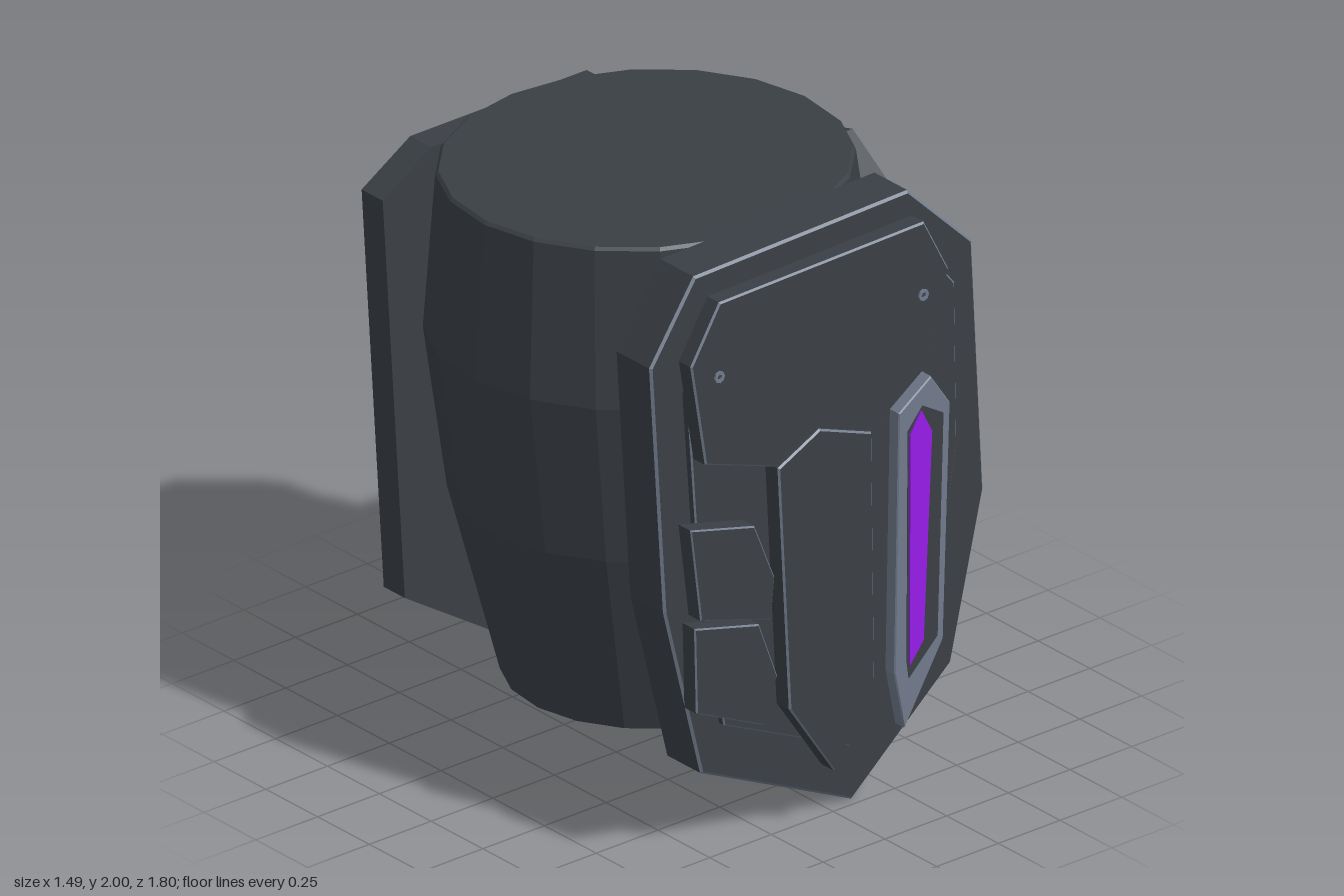
import * as THREE from 'three';

const mat = (name, color) => {
  const m = new THREE.MeshStandardMaterial({ color });
  m.name = name;
  return m;
};

export function createModel() {
  const body = mat('gunmetal', 0x3a3f45);
  const trim = mat('grey trim', 0x707a8b);
  const glow = mat('purple light', 0x981cea);
  const model = new THREE.Group();

  // Each face: turn about y, and how far plates lean outward per unit of height
  const faces = {
    front: { turn: 0, lean: -0.03 },
    side: { turn: Math.PI / 2, lean: -0.015 },
    back: { turn: Math.PI, lean: 0.03 },
  };

  // Plate: outline (u, y) seen from outside, inner distance w, thickness d
  function plate(name, faceName, pts, w, d, material, { bevel = 0, hole = null } = {}) {
    const face = faces[faceName];
    const toV = (p) => new THREE.Vector2(p[0], p[1]);
    const shape = new THREE.Shape(pts.map(toV));
    if (hole) shape.holes.push(new THREE.Path(hole.map(toV)));
    const geo = new THREE.ExtrudeGeometry(shape, {
      depth: d - bevel, bevelEnabled: bevel > 0, bevelSegments: 1,
      bevelSize: bevel, bevelThickness: bevel, bevelOffset: -bevel,
    });
    const pos = geo.attributes.position;
    for (let i = 0; i < pos.count; i++) {
      const z = Math.max(pos.getZ(i), 0);
      pos.setZ(i, w + z + face.lean * (pos.getY(i) - 1));
    }
    geo.computeVertexNormals();
    geo.rotateY(face.turn);
    const mesh = new THREE.Mesh(geo, material);
    mesh.name = name;
    model.add(mesh);
    return mesh;
  }

  // Armour plate: body colour with a fine worn grey chamfer round its outer edge
  function armour(name, face, pts, w, d, bevel = 0.006) {
    const mesh = plate(name, face, pts, w, d, [body, trim], { bevel });
    const geo = mesh.geometry;
    const { start, count } = geo.groups[1];
    geo.clearGroups();
    geo.addGroup(0, start, 0);
    // Per outline edge: back ring, wall, outer chamfer
    for (let i = start; i < start + count; i += 18) {
      geo.addGroup(i, 12, 0);
      geo.addGroup(i + 12, 6, 1);
    }
  }

  // Small ring bolt
  function bolt(face, u, y, w) {
    const ring = (r) => Array.from({ length: 8 }, (_, i) => [
      u + r * Math.cos(i * Math.PI / 4), y + r * Math.sin(i * Math.PI / 4)]);
    plate('bolt', face, ring(0.02), w, 0.006, trim, { hole: ring(0.009) });
  }

  // Rectangle with cut corners
  const octagon = (u, y, hw, hh, c) => [
    [u - hw + c, y + hh], [u + hw - c, y + hh], [u + hw, y + hh - c], [u + hw, y - hh + c],
    [u + hw - c, y - hh], [u - hw + c, y - hh], [u - hw, y - hh + c], [u - hw, y + hh - c]];

  // Vent: dark housing, grey rim on its face, sloping slats inside
  function vent(face, u, y, hw, hh, w, d, border, count, drop) {
    const c = 0.055;
    const rim = 0.02;
    const outer = octagon(u, y, hw, hh, c);
    const inner = octagon(u, y, hw - border, hh - border, c * 0.7);
    plate('ventHousing', face, outer, w, d - rim, body, { hole: inner });
    plate('ventRim', face, outer, w + d - rim, rim, trim, { hole: inner });
    plate('ventPanel', face, inner, w + 0.004, d * 0.6, body);
    const sw = hw - border - 0.02;
    const pitch = (hh - border) * 1.8 / count;
    const h = pitch * 0.2;
    for (let i = 0; i < count; i++) {
      const sy = y + (i - (count - 1) / 2) * pitch;
      plate('ventSlat', face, [
        [u - sw, sy + drop / 2 - h], [u + sw, sy - drop / 2 - h],
        [u + sw, sy - drop / 2 + h], [u - sw, sy + drop / 2 + h]], w + d * 0.5, d * 0.55, body);
    }
  }

  // Barrel core, faceted and slightly tilted
  const profile = [[0, 0], [0.512, 0], [0.655, 0.64], [0.711, 1.19], [0.655, 1.71], [0.645, 1.72], [0, 1.72]];
  const coreGeo = new THREE.LatheGeometry(profile.map((p) => new THREE.Vector2(...p)), 20).toNonIndexed();
  coreGeo.computeVertexNormals();
  const core = new THREE.Mesh(coreGeo, body);
  core.name = 'barrelCore';
  core.position.set(-0.015, 0.232, -0.048);
  core.rotation.set(-0.035, 0, 0.015);
  model.add(core);

  // Front: stacked armour
  armour('frontBasePlate', 'front', [
    [-0.49, 1.978], [0.377, 2.0], [0.63, 1.75], [0.655, 0.89], [0.51, 0.34],
    [0.1, 0.0], [-0.505, 0.28], [-0.64, 0.87], [-0.675, 1.72]], 0.53, 0.165, 0.008);
  armour('frontMiddlePlate', 'front', [
    [-0.4, 1.86], [0.36, 1.87], [0.535, 1.645], [0.53, 1.1], [0.41, 0.48],
    [0.075, 0.2], [-0.43, 0.43], [-0.52, 1.0], [-0.55, 1.6]], 0.695, 0.025, 0.005);
  armour('frontUpperPlate', 'front', [
    [-0.49, 1.935], [0.34, 1.95], [0.435, 1.76], [0.31, 1.37], [0.1, 1.31],
    [-0.28, 1.305], [-0.56, 1.4], [-0.61, 1.75]], 0.755, 0.06);
  armour('frontShield', 'front', [
    [-0.28, 1.305], [-0.11, 1.387], [0.1, 1.31], [0.09, 0.47], [-0.08, 0.205], [-0.255, 0.47]], 0.765, 0.065);
  armour('upperTab', 'front', [
    [-0.638, 1.205], [-0.38, 1.14], [-0.303, 0.94], [-0.32, 0.8], [-0.605, 0.885]], 0.77, 0.06, 0.005);
  armour('lowerTab', 'front', [
    [-0.63, 0.865], [-0.37, 0.8], [-0.3, 0.6], [-0.36, 0.45], [-0.63, 0.575]], 0.77, 0.06, 0.005);

  // Front light: frame, dark recess, glowing strip
  plate('lightFrame', 'front', [
    [0.3, 1.458], [0.375, 1.345], [0.327, 0.55], [0.163, 0.295], [0.128, 0.49], [0.168, 1.37]],
    0.835, 0.045, trim, { bevel: 0.004 });
  plate('lightRecess', 'front', [
    [0.262, 1.37], [0.345, 1.32], [0.302, 0.57], [0.183, 0.46], [0.176, 0.52], [0.2, 1.3]],
    0.88, 0.002, body);
  plate('lightStrip', 'front', [
    [0.253, 1.358], [0.294, 1.275], [0.242, 0.575], [0.185, 0.505], [0.205, 1.285]],
    0.882, 0.005, glow);
  bolt('front', -0.5, 1.685, 0.815);
  bolt('front', 0.327, 1.705, 0.815);

  // Left side: panel, vent and hanging tab (u = -z)
  armour('sidePanel', 'side', [
    [-0.085, 1.91], [0.37, 1.785], [0.628, 1.395], [0.595, 1.15], [0.37, 0.48],
    [0.22, 0.28], [-0.285, 0.29], [-0.45, 0.96], [-0.375, 1.71]], 0.55, 0.108, 0.008);
  vent('side', 0.088, 1.055, 0.21, 0.288, 0.687, 0.05, 0.042, 4, 0.055);
  armour('sideTab', 'side', [
    [-0.255, 0.665], [0.37, 0.7], [0.325, 0.325], [0.055, 0.14], [-0.225, 0.33]], 0.683, 0.055, 0.005);
  bolt('side', -0.13, 1.62, 0.658);
  bolt('side', -0.165, 0.615, 0.738);

  // Back: panel and vent (u = -x)
  armour('backPanel', 'back', [
    [0.435, 1.9], [-0.28, 1.9], [-0.47, 1.64], [-0.4, 0.34], [0.11, 0.1],
    [0.58, 0.4], [0.635, 1.78]], 0.645, 0.11, 0.008);
  vent('back', 0.105, 1.135, 0.195, 0.155, 0.85, 0.042, 0.033, 4, 0.015);

  return model;
}
